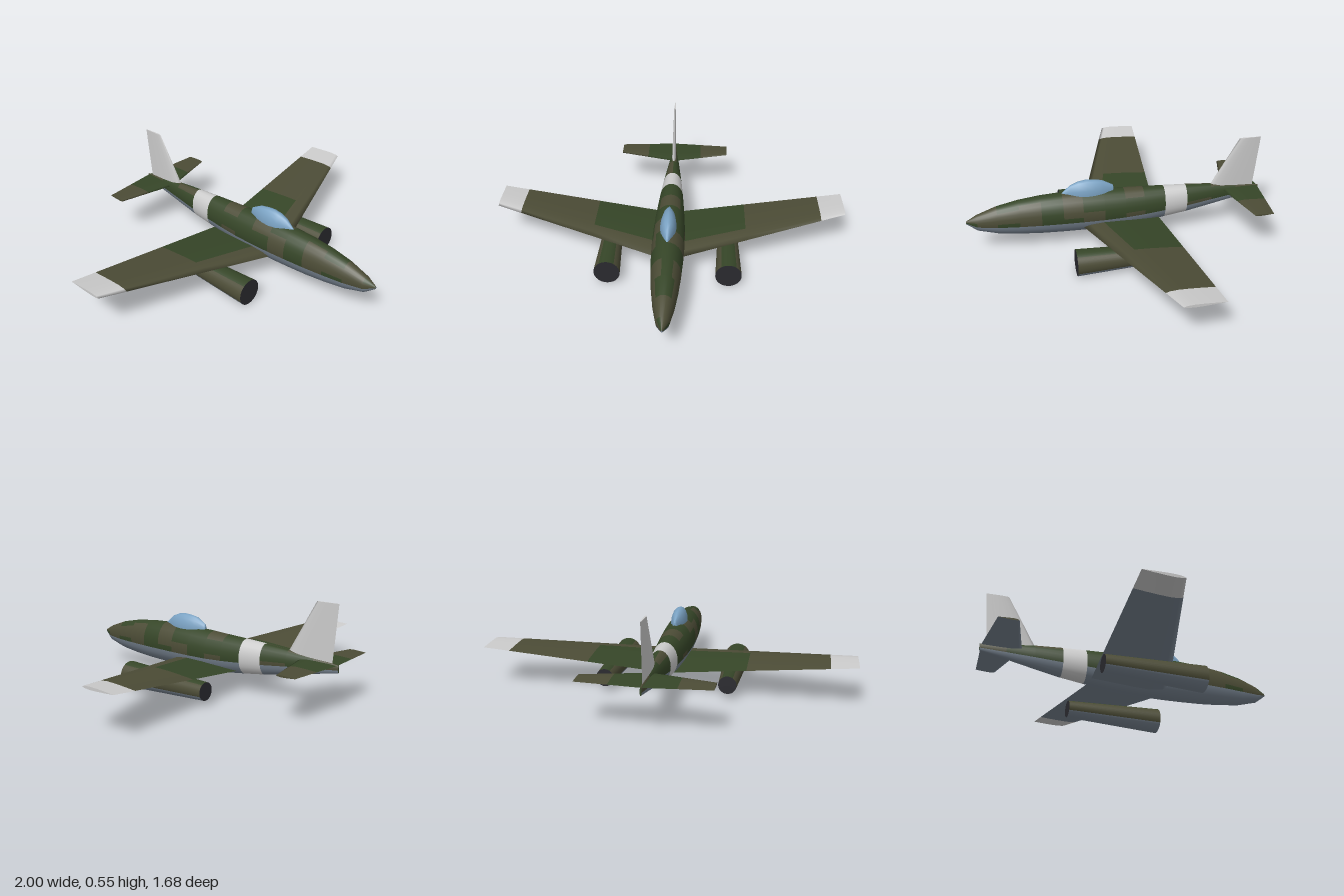
import * as THREE from 'three';

const COLORS = {
  green: 0x364628, olive: 0x4c4c36, grey: 0x76828f, white: 0xd2d2d2, glass: 0x7ba3c4, black: 0x2a2a2f,
};
const materials = {};
for (const key in COLORS) {
  materials[key] = new THREE.MeshStandardMaterial({ color: COLORS[key], side: THREE.DoubleSide });
}
const V = (x, y, z) => new THREE.Vector3(x, y, z);

// Skins a row of rings; pick(i, j) names the colour of each panel, normals stay smooth across colours
function loft(name, rings, closed, pick, capStart, capEnd) {
  const group = new THREE.Group();
  group.name = name;
  const n = rings[0].length;
  const all = [];
  const byColor = {};
  for (let i = 0; i < rings.length - 1; i++) {
    for (let j = 0; j < (closed ? n : n - 1); j++) {
      const k = (j + 1) % n;
      const a = i * n + j, b = i * n + k, c = b + n, d = a + n;
      const faces = [a, b, c, a, c, d];
      all.push(...faces);
      (byColor[pick(i, j)] ??= []).push(...faces);
    }
  }
  const base = new THREE.BufferGeometry().setFromPoints(rings.flat());
  base.setIndex(all);
  base.computeVertexNormals();
  for (const key in byColor) {
    const g = base.clone();
    g.setIndex(byColor[key]);
    const mesh = new THREE.Mesh(g, materials[key]);
    mesh.name = `${name} ${key}`;
    group.add(mesh);
  }
  // Flat end caps
  [[rings[0], capStart, true], [rings[rings.length - 1], capEnd, false]].forEach(([ring, key, flip]) => {
    if (!key) return;
    const mid = ring.reduce((s, p) => s.add(p), V(0, 0, 0)).divideScalar(n);
    const g = new THREE.BufferGeometry().setFromPoints([mid, ...ring]);
    const idx = [];
    for (let j = 0; j < n; j++) {
      const a = 1 + j, b = 1 + (j + 1) % n;
      idx.push(0, flip ? b : a, flip ? a : b);
    }
    g.setIndex(idx);
    g.computeVertexNormals();
    const mesh = new THREE.Mesh(g, materials[key]);
    mesh.name = `${name} end`;
    group.add(mesh);
  });
  return group;
}

// Elliptical ring facing +z, starting a little below the equator on the left
function ellipse(z, cy, rx, ry, sides, start, cx = 0) {
  return Array.from({ length: sides }, (_, j) => {
    const a = start + j / sides * Math.PI * 2;
    return V(cx + Math.cos(a) * rx, cy + Math.sin(a) * ry, z);
  });
}

// Aerofoil ring: trailing edge, first side, leading edge, second side
const FOIL = [[1, 0], [0.75, 0.45], [0.5, 0.82], [0.25, 1], [0.08, 0.68], [0, 0],
  [0.08, -0.68], [0.25, -1], [0.5, -0.82], [0.75, -0.45], [1, 0]];
const foil = (lead, trail, half, place) =>
  FOIL.map(([f, t]) => place(lead + (trail - lead) * f, t * half));

function fuselage() {
  // z, bottom, top, half width
  const stations = [
    [-0.84, 0.205, 0.245, 0.005], [-0.7, 0.178, 0.263, 0.02], [-0.55, 0.148, 0.28, 0.038],
    [-0.4, 0.12, 0.29, 0.056], [-0.27, 0.103, 0.296, 0.068], [-0.15, 0.088, 0.301, 0.077],
    [-0.04, 0.079, 0.306, 0.084], [0.08, 0.075, 0.312, 0.089], [0.2, 0.075, 0.315, 0.09],
    [0.31, 0.077, 0.313, 0.087], [0.43, 0.081, 0.307, 0.081], [0.55, 0.09, 0.293, 0.071],
    [0.67, 0.105, 0.268, 0.056], [0.78, 0.135, 0.228, 0.034], [0.84, 0.18, 0.195, 0.004],
  ];
  const start = -Math.PI / 12;
  const rings = stations.map(([z, lo, hi, w]) => ellipse(z, (lo + hi) / 2, w, (hi - lo) / 2, 24, start));
  return loft('fuselage', rings, true, (i, j) => {
    if (i === 3) return 'white';
    if (j >= 14) return 'grey';
    const patch = Math.floor((j + (i % 3)) / 3);
    return (patch * 5 + i * 3 + (i * patch) % 3) % 5 < 2 ? 'olive' : 'green';
  }, 'green', 'grey');
}

function wing() {
  const xs = [-1, -0.86, -0.43, -0.08, 0, 0.08, 0.43, 0.86, 1];
  const rings = xs.map((x) => {
    const s = Math.abs(x);
    const y = 0.115 + 0.11 * s;
    return foil(0.222 - 0.325 * s, -0.235 - 0.078 * s, 0.024 - 0.016 * s, (z, t) => V(x, y + t, z));
  });
  return loft('wing', rings, false, (i, j) => {
    if (i === 0 || i === 7) return 'white';
    if (j >= 5) return 'grey';
    return i > 1 && i < 6 && j < 3 ? 'green' : 'olive';
  }, 'white', 'white');
}

function tailplane() {
  const rings = [-0.333, -0.165, 0, 0.165, 0.333].map((x) => {
    const s = Math.abs(x) / 0.333;
    return foil(-0.615 - 0.085 * s, -0.832 + 0.025 * s, 0.008 - 0.003 * s, (z, t) => V(x, 0.242 + t, z));
  });
  return loft('tailplane', rings, false,
    (i, j) => (j >= 5 ? 'grey' : i === 1 || i === 2 ? 'green' : 'olive'), 'olive', 'olive');
}

function fin() {
  const rings = [[0.24, -0.527, -0.803, 0.013], [0.55, -0.705, -0.83, 0.005]].map(([y, lead, trail, half]) =>
    foil(lead, trail, half, (z, t) => V(-t, y, z)));
  return loft('fin', rings, false, () => 'white', null, 'white');
}

function canopy() {
  // z, top height, half width
  const rings = [[0.018, 0.325, 0.006], [0.022, 0.338, 0.012], [0.08, 0.37, 0.034], [0.125, 0.378, 0.042],
    [0.17, 0.381, 0.045], [0.215, 0.374, 0.04], [0.26, 0.356, 0.026], [0.315, 0.309, 0.003]]
    .map(([z, top, w]) => ellipse(z, 0.3, w, top - 0.3, 16, 0));
  return loft('canopy', rings, true, () => 'glass', 'glass', 'glass');
}

function engine(side) {
  const start = -Math.PI / 7.2;
  const rings = [[-0.267, 0.0765, 0.0485], [0.285, 0.072, 0.072]].map(([z, y, r]) =>
    ellipse(z, y, r, r, 36, start, side * 0.333));
  // Green over the top and sides, grey beneath
  return loft(side > 0 ? 'leftEngine' : 'rightEngine', rings, true,
    (i, j) => (j >= 23 ? 'grey' : j >= 8 && j < 15 ? 'green' : 'olive'), 'black', 'black');
}

export function createModel() {
  const model = new THREE.Group();
  model.name = 'aeroplane';
  model.add(fuselage(), wing(), tailplane(), fin(), canopy(), engine(1), engine(-1));
  return model;
}
